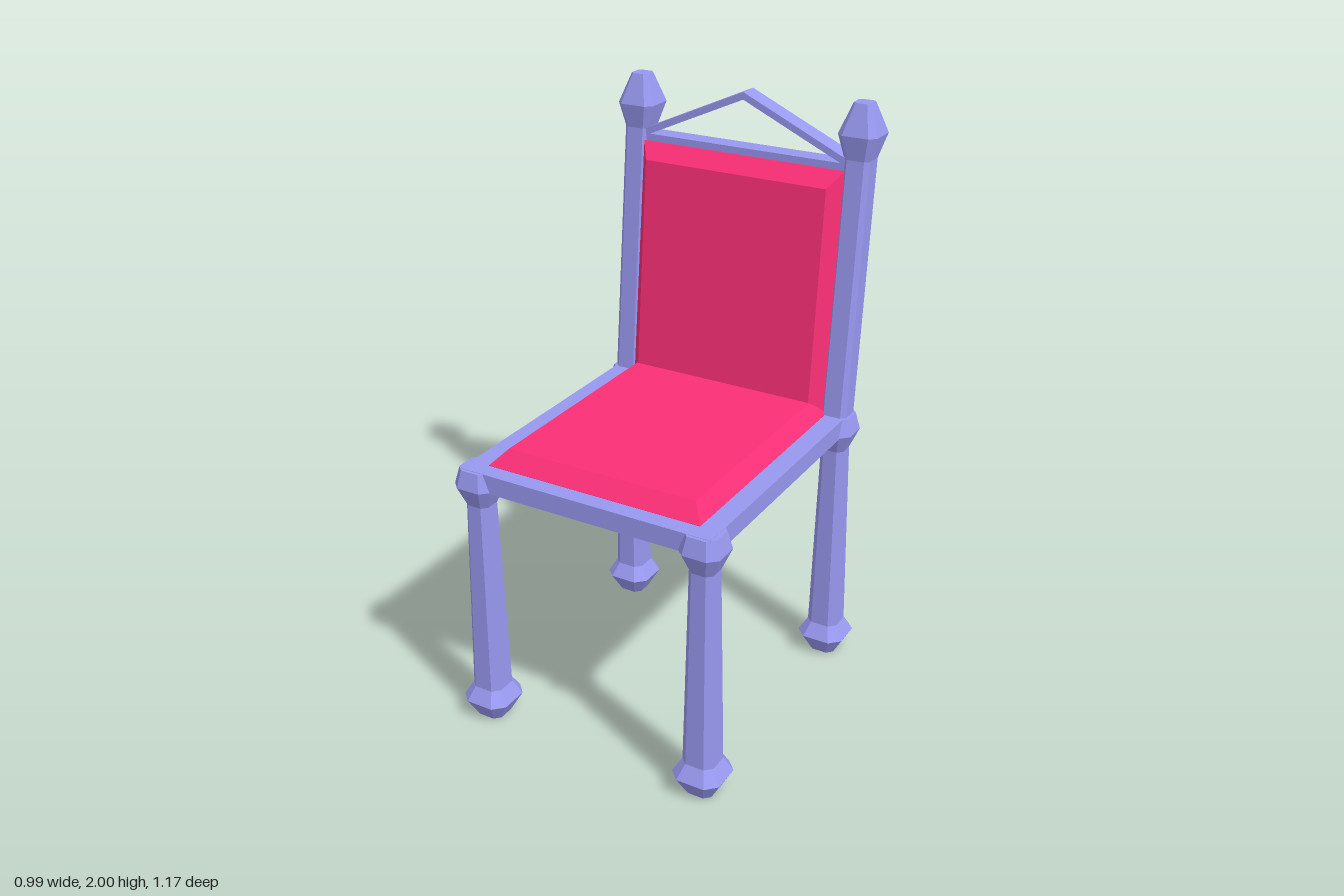
import * as THREE from 'three';

const wood = new THREE.MeshStandardMaterial({ color: 0x9898f0, flatShading: true });
const fabric = new THREE.MeshStandardMaterial({ color: 0xfa2f76, flatShading: true });

// Skins a stack of equal-length rings (counter-clockwise seen from the last ring) and caps both ends
function loft(rings) {
  const n = rings[0].length, index = [];
  for (let r = 0; r < rings.length - 1; r++) {
    for (let i = 0; i < n; i++) {
      const a = r * n + i, b = r * n + (i + 1) % n;
      index.push(a, b, b + n, a, b + n, a + n);
    }
  }
  const top = (rings.length - 1) * n;
  for (let i = 1; i < n - 1; i++) index.push(0, i + 1, i, top, top + i, top + i + 1);
  const geo = new THREE.BufferGeometry();
  geo.setAttribute('position', new THREE.Float32BufferAttribute(rings.flat(2), 3));
  geo.setIndex(index);
  const flat = geo.toNonIndexed();
  flat.computeVertexNormals();
  return flat;
}

// Horizontal square ring with chamfered corners
function chamferRing(x, y, z, half, flatRatio) {
  const f = half * flatRatio;
  return [[half, -f], [f, -half], [-f, -half], [-half, -f], [-half, f], [-f, half], [f, half], [half, f]]
    .map(([dx, dz]) => [x + dx, y, z + dz]);
}

// Turned profiles: [y, half width, z offset]
const legProfile = [[0, 0.047, 0], [0.07, 0.085, 0], [0.12, 0.056, 0], [0.82, 0.042, 0], [0.89, 0.071, 0], [0.95, 0.056, 0]];
const postProfile = [[0.94, 0.046, 0], [1.82, 0.045, -0.082], [1.9, 0.068, -0.09], [2, 0.03, -0.09]];

export function createModel() {
  const chair = new THREE.Group();
  const add = (name, geo, mat) => {
    const mesh = new THREE.Mesh(geo, mat);
    mesh.name = name;
    chair.add(mesh);
    return mesh;
  };
  const turned = (name, profile, x, z, flatRatio) =>
    add(name, loft(profile.map(([y, half, dz]) => chamferRing(x, y, z + dz, half, flatRatio))), wood);

  // Legs and leaning back posts with finials
  for (const [side, x] of [['left', 0.41], ['right', -0.41]]) {
    turned(side + 'FrontLeg', legProfile, x, 0.5, 0.58);
    turned(side + 'BackLeg', legProfile, x, -0.428, 0.58);
    turned(side + 'BackPost', postProfile, x, -0.43, 0.67);
  }

  // Seat frame: open rectangle of rails
  const rect = (Type, w, z0, z1) => new Type([
    new THREE.Vector2(-w, -z1), new THREE.Vector2(w, -z1), new THREE.Vector2(w, -z0), new THREE.Vector2(-w, -z0)]);
  const frame = rect(THREE.Shape, 0.452, -0.475, 0.545);
  frame.holes.push(rect(THREE.Path, 0.375, -0.4, 0.48));
  const frameGeo = new THREE.ExtrudeGeometry(frame, { depth: 0.065, bevelEnabled: false });
  frameGeo.rotateX(-Math.PI / 2).translate(0, 0.886, 0);
  add('seatFrame', frameGeo, wood);

  // Seat cushion with sloping edges, its underside almost level with the frame
  const seatRing = (w, y, back, front) => [[-w, y, front], [w, y, front], [w, y, back], [-w, y, back]];
  add('seatCushion', loft([
    seatRing(0.384, 0.892, -0.41, 0.487),
    seatRing(0.384, 0.952, -0.41, 0.487),
    seatRing(0.34, 1.0, -0.35, 0.435)]), fabric);

  // Back cushion, leaning with the posts, its rear almost level with them
  const backRing = (w, y0, z0, y1, z1) => [[-w, y0, z0], [w, y0, z0], [w, y1, z1], [-w, y1, z1]];
  add('backCushion', loft([
    backRing(0.375, 0.945, -0.463, 1.78, -0.537),
    backRing(0.375, 0.945, -0.39, 1.78, -0.47),
    backRing(0.336, 1.0, -0.35, 1.73, -0.415)]), fabric);

  // Top rail and the gable above it
  add('topRail', new THREE.BoxGeometry(0.75, 0.028, 0.07), wood).position.set(0, 1.79, -0.51);
  const gable = new THREE.Shape([[-0.375, 1.795], [0, 1.965], [0.375, 1.795], [0.375, 1.82], [0, 1.99], [-0.375, 1.82]]
    .map(([x, y]) => new THREE.Vector2(x, y)));
  add('gable', new THREE.ExtrudeGeometry(gable, { depth: 0.07, bevelEnabled: false }), wood).position.z = -0.545;

  return chair;
}
